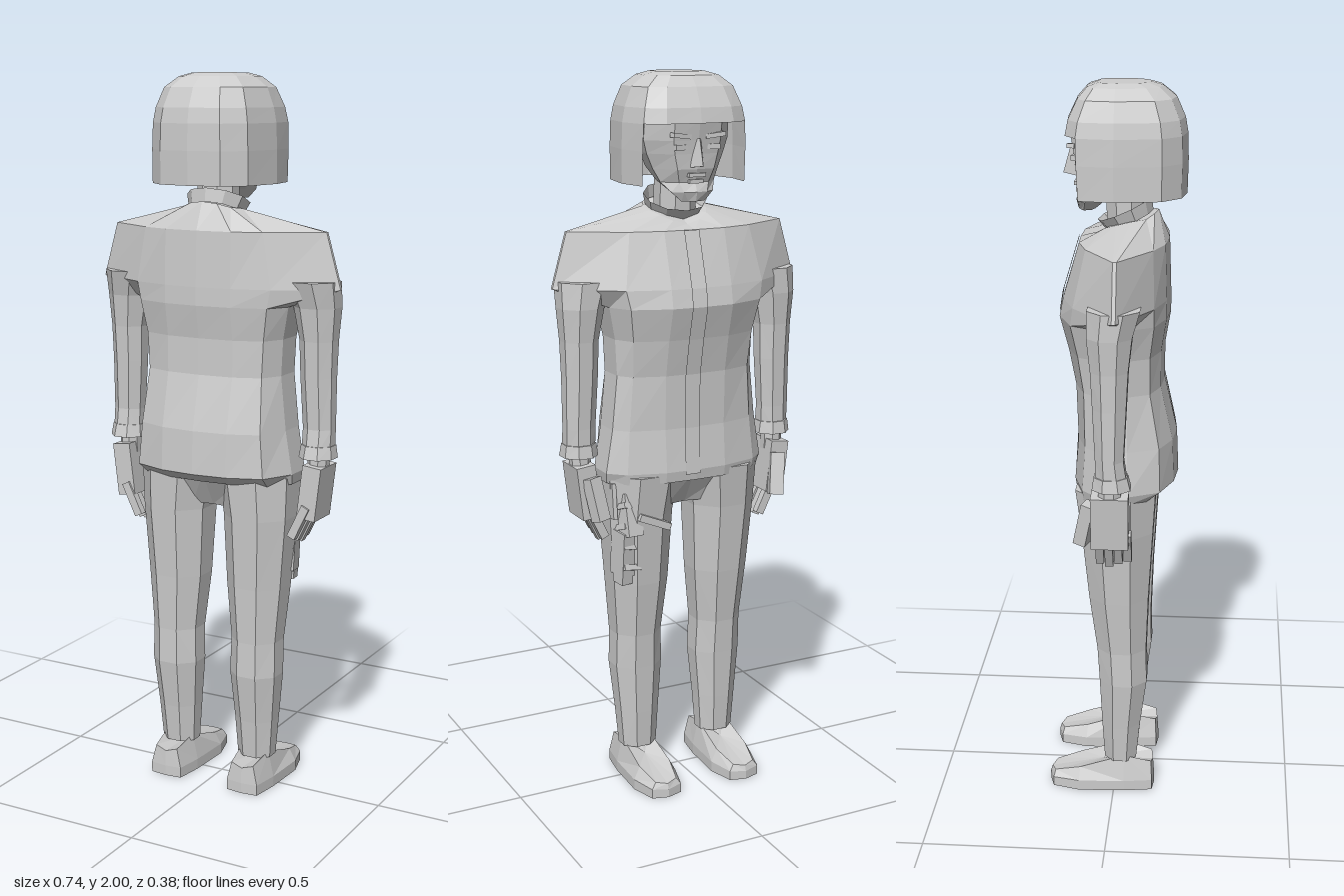
import * as THREE from 'three';

const grey = new THREE.MeshStandardMaterial({ color: 0xcccccc, flatShading: true, side: THREE.DoubleSide });
grey.name = 'light grey';

// Mirrors a half outline [x, y, z] (back centre to front) into a full ring.
const mirror = (half) => [
  ...half.filter((p) => p[0] > 0).reverse().map(([x, y, z]) => [-x, y, z]),
  ...half,
];

// Eight-sided limb section.
const oct = (y, cx, cz, rx, rz) => Array.from({ length: 8 }, (_, i) => {
  const a = (i + 0.5) * Math.PI / 4, k = 1.06;
  return [cx + k * rx * Math.sin(a), y, cz + k * rz * Math.cos(a)];
});

// Faceted skin through rings listed from bottom to top.
function loft(rings, open = false) {
  const n = rings[0].length, pos = [];
  const tri = (a, b, c) => pos.push(...a, ...b, ...c);
  for (let k = 0; k < rings.length - 1; k++) {
    for (let i = 0; i < (open ? n - 1 : n); i++) {
      const j = (i + 1) % n, lo = rings[k], hi = rings[k + 1];
      tri(lo[i], lo[j], hi[j]);
      tri(lo[i], hi[j], hi[i]);
    }
  }
  if (!open) {
    for (const [r, top] of [[rings[0], false], [rings[rings.length - 1], true]]) {
      const c = [0, 1, 2].map((d) => r.reduce((s, p) => s + p[d], 0) / n);
      for (let i = 0; i < n; i++) {
        const j = (i + 1) % n;
        top ? tri(c, r[i], r[j]) : tri(c, r[j], r[i]);
      }
    }
  }
  const g = new THREE.BufferGeometry();
  g.setAttribute('position', new THREE.Float32BufferAttribute(pos, 3));
  g.computeVertexNormals();
  return g;
}

function add(parent, name, geometry, pos = [0, 0, 0], rot = [0, 0, 0]) {
  const m = new THREE.Mesh(geometry, grey);
  m.name = name;
  m.position.set(...pos);
  m.rotation.set(...rot);
  parent.add(m);
  return m;
}
const box = (parent, name, size, pos, rot) => add(parent, name, new THREE.BoxGeometry(...size), pos, rot);

// Jacket section: half width, back z, front z, shoulder line half depth and centre.
const jacketRing = ([y, rx, zb, zf, sz, a, sc = 0]) => mirror([
  [0, y, zb], [0.1, y, zb * 0.95], [a, y, zb * 0.75], [rx, y, sc + sz],
  [rx, y, sc - sz], [a, y, zf * 0.72], [0.09, y, zf * 0.97], [0, y, zf],
]);

function buildTorso(g) {
  const rows = [
    [0.9, 0.235, 0.12, -0.11, 0.03, 0.19], [0.93, 0.24, 0.17, -0.115, 0.04, 0.195],
    [1.05, 0.22, 0.165, -0.105, 0.04, 0.185], [1.2, 0.205, 0.13, -0.11, 0.04, 0.175],
    [1.3, 0.21, 0.13, -0.13, 0.04, 0.18], [1.39, 0.23, 0.145, -0.155, 0.05, 0.195],
    [1.44, 0.368, 0.145, -0.145, 0.005, 0.205, 0.015], [1.59, 0.325, 0.14, -0.1, 0.005, 0.18, 0.015],
  ].map(jacketRing);
  // Sloping yoke up to the neck
  rows.push(mirror([
    [0, 1.665, 0.11], [0.04, 1.66, 0.1], [0.07, 1.65, 0.08], [0.085, 1.645, 0.04],
    [0.085, 1.635, 0], [0.07, 1.625, -0.03], [0.04, 1.61, -0.05], [0, 1.6, -0.055],
  ]));
  add(g, 'jacket', loft(rows));
  // Front flap following the chest
  const flap = [[0.92, -0.118], [1.05, -0.11], [1.2, -0.115], [1.3, -0.135], [1.39, -0.158], [1.44, -0.15], [1.59, -0.105]];
  add(g, 'frontFlap', loft(flap.map(([y, z]) => [[0.035, y, z], [-0.01, y, z]]), true));
  // Neck and tilted collar
  add(g, 'neck', loft([oct(1.58, 0, 0.025, 0.055, 0.05), oct(1.76, 0, 0.015, 0.055, 0.05)]));
  const collar = new THREE.CylinderGeometry(0.09, 0.078, 0.035, 10, 1, true);
  collar.scale(1, 1, 0.88);
  add(g, 'collar', collar, [0, 1.652, 0.025], [-0.42, 0, 0]);
}

function buildHead(g) {
  const hairHalf = (y, kx, zb, zf) => [
    [0, y, zb], [0.09 * kx, y, zb * 0.93], [0.145 * kx, y, zb * 0.66],
    [0.167 * kx, y, 0], [0.152 * kx, y, zf * 0.72], [0.1 * kx, y, zf * 0.95], [0, y, zf],
  ];
  // Bobbed hair, open around the face
  const lower = [[1.71, 1, 0.185, -0.13], [1.8, 1, 0.187, -0.136], [1.87, 0.985, 0.185, -0.138]];
  add(g, 'hairSides', loft(lower.map((r) => mirror(hairHalf(...r).slice(0, 5))), true));
  const dome = [[1.87, 0.985, 0.185, -0.138], [1.91, 0.94, 0.178, -0.13], [1.962, 0.82, 0.155, -0.105], [1.99, 0.6, 0.12, -0.08], [2.0, 0.4, 0.085, -0.05]];
  add(g, 'hairCrown', loft(dome.map((r) => mirror(hairHalf(...r)))));
  // Face: y, half width, back z, front z
  const face = [
    [1.665, 0.035, -0.06, -0.105], [1.69, 0.062, -0.03, -0.112], [1.715, 0.08, 0.03, -0.1],
    [1.75, 0.098, 0.08, -0.112], [1.79, 0.115, 0.09, -0.115], [1.825, 0.125, 0.09, -0.12], [1.88, 0.125, 0.09, -0.13],
  ].map(([y, rx, zb, zf]) => mirror([
    [0, y, zb], [rx * 0.8, y, zb * 0.8 + zf * 0.2], [rx, y, zb * 0.35 + zf * 0.65], [rx * 0.55, y, zf * 0.93], [0, y, zf],
  ]));
  add(g, 'face', loft(face));
  add(g, 'nose', loft([
    mirror([[0, 1.755, -0.1], [0.02, 1.755, -0.11], [0, 1.76, -0.146]]),
    mirror([[0, 1.83, -0.11], [0.009, 1.83, -0.115], [0, 1.83, -0.126]]),
  ]));
  box(g, 'upperLip', [0.05, 0.01, 0.02], [0, 1.735, -0.105]);
  box(g, 'lowerLip', [0.04, 0.01, 0.02], [0, 1.718, -0.1]);
  for (const s of [-1, 1]) {
    box(g, 'brow', [0.055, 0.012, 0.02], [s * 0.05, 1.838, -0.115], [0, s * 0.15, s * 0.12]);
    box(g, 'eye', [0.036, 0.014, 0.012], [s * 0.048, 1.808, -0.111], [0, s * 0.15, 0]);
  }
}

function buildArm(s) {
  const arm = new THREE.Group();
  const sleeve = [
    [1.0, 0.302, 0.005, 0.043, 0.042], [1.06, 0.302, 0, 0.043, 0.038], [1.2, 0.298, 0, 0.047, 0.045],
    [1.3, 0.298, 0, 0.05, 0.05], [1.39, 0.293, 0, 0.062, 0.06], [1.46, 0.28, 0.01, 0.075, 0.07],
  ].map((r) => oct(...r));
  add(arm, 'sleeve', loft(sleeve));
  add(arm, 'cuff', loft([oct(0.98, 0.302, 0.005, 0.05, 0.052), oct(1.015, 0.302, 0.003, 0.045, 0.045)]));
  add(arm, 'wrist', loft([oct(0.93, 0.3, 0, 0.028, 0.03), oct(1, 0.302, 0, 0.028, 0.03)]));
  box(arm, 'palm', [0.055, 0.15, 0.1], [0.295, 0.885, 0.0], [0, 0, -0.12]);
  box(arm, 'thumb', [0.04, 0.12, 0.035], [0.282, 0.87, -0.066], [0.25, 0.3, -0.15]);
  for (let i = 0; i < 4; i++) {
    box(arm, 'finger', [0.024, 0.1, 0.022], [0.266, 0.785 + 0.008 * Math.abs(i - 1), -0.03 + i * 0.025], [0, 0, -0.45]);
  }
  arm.scale.x = s;
  arm.name = s > 0 ? 'leftArm' : 'rightArm';
  return arm;
}

function buildLeg(s) {
  const leg = new THREE.Group();
  const trouser = [
    [0.09, 0.125, 0.018, 0.052, 0.046], [0.2, 0.126, 0.02, 0.06, 0.055], [0.34, 0.127, 0.026, 0.072, 0.068],
    [0.44, 0.128, 0.022, 0.07, 0.07], [0.6, 0.127, 0.014, 0.085, 0.084], [0.8, 0.13, 0.01, 0.098, 0.1], [0.92, 0.122, 0.005, 0.11, 0.112],
  ].map((r) => oct(...r));
  add(leg, 'trouserLeg', loft(trouser));
  // Shoe outline shrinks and slopes from heel to toe
  const outline = [[0, 0.115], [0.048, 0.11], [0.06, 0.03], [0.066, -0.1], [0.045, -0.175], [0, -0.188]];
  const tops = [0.075, 0.085, 0.105, 0.065, 0.045, 0.04];
  const shoeRing = (k, h) => mirror(outline.map(([x, z], i) => [x * k, h(i), z * (0.9 + 0.1 * k)]))
    .map(([x, y, z]) => [x + 0.125, y, z]);
  add(leg, 'shoe', loft([
    shoeRing(1, () => 0), shoeRing(1, (i) => Math.min(0.03, tops[i] * 0.6)), shoeRing(0.72, (i) => tops[i]),
  ]));
  leg.scale.x = s;
  leg.name = s > 0 ? 'leftLeg' : 'rightLeg';
  return leg;
}

// Sidearm hanging against the left thigh
function buildSidearm() {
  const g = new THREE.Group();
  g.name = 'sidearm';
  box(g, 'grip', [0.05, 0.12, 0.045], [0.18, 0.81, -0.06], [0.25, 0.2, 0]);
  box(g, 'body', [0.05, 0.13, 0.06], [0.19, 0.7, -0.045], [-0.1, 0.2, 0]);
  box(g, 'muzzle', [0.035, 0.06, 0.045], [0.195, 0.64, -0.045], [-0.1, 0.2, 0]);
  for (let i = 0; i < 4; i++) {
    box(g, 'rib', [0.055, 0.016, 0.07], [0.185, 0.65 + i * 0.06, -0.045], [0.35, 0.2, 0.1]);
  }
  box(g, 'hammer', [0.1, 0.02, 0.025], [0.12, 0.79, -0.09], [0, 0, 0.4]);
  box(g, 'strap', [0.012, 0.1, 0.03], [0.222, 0.85, -0.04], [0.1, 0, 0]);
  return g;
}

export function createModel() {
  const model = new THREE.Group();
  model.name = 'standingFigure';
  buildTorso(model);
  buildHead(model);
  add(model, 'hips', loft([
    mirror([[0, 0.82, 0.05], [0.06, 0.82, 0.06], [0.06, 0.82, -0.05], [0, 0.82, -0.04]]),
    mirror([[0, 0.92, 0.11], [0.13, 0.92, 0.115], [0.13, 0.92, -0.105], [0, 0.92, -0.1]]),
  ]));
  for (const s of [-1, 1]) model.add(buildArm(s), buildLeg(s));
  model.add(buildSidearm());
  return model;
}
